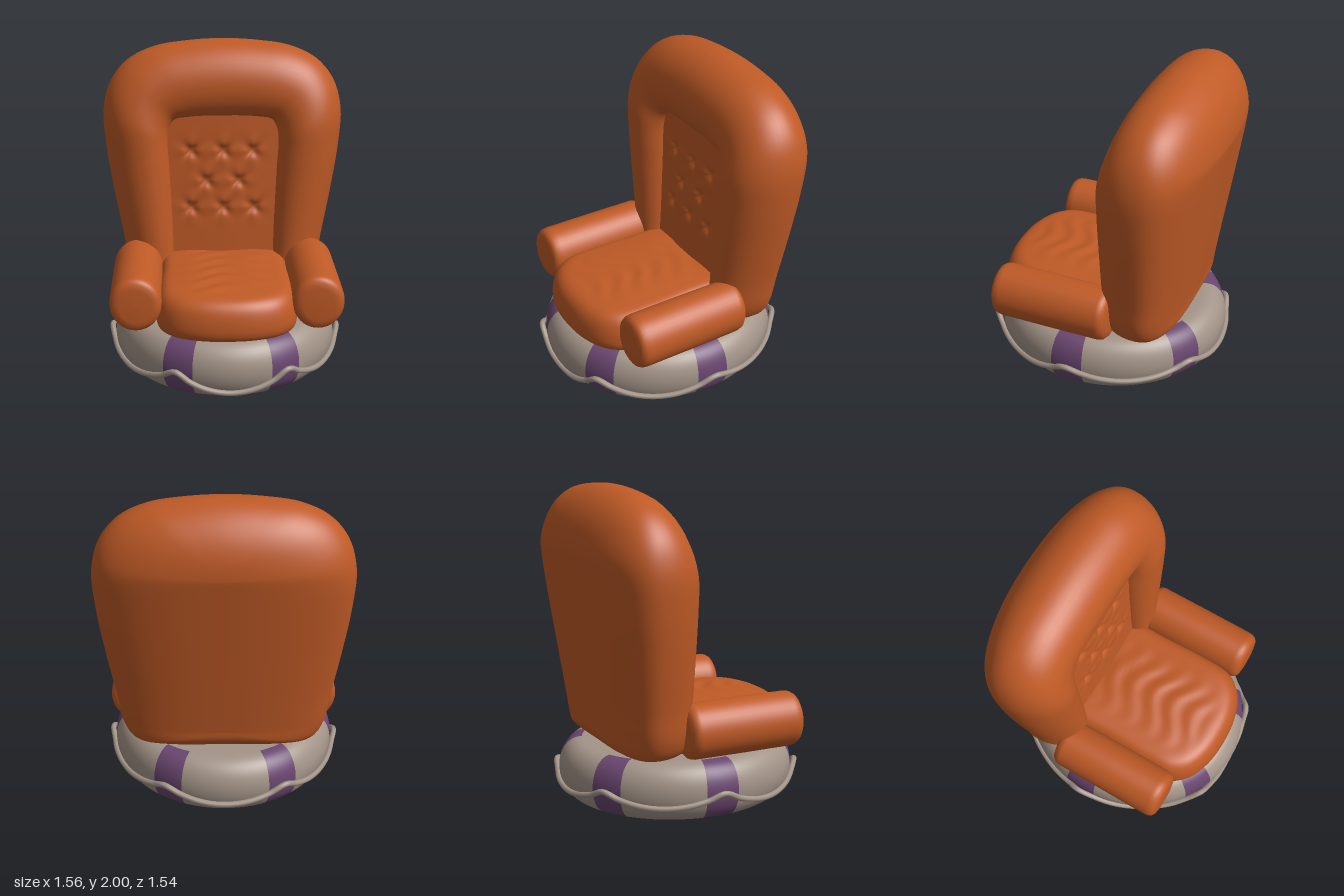
import * as THREE from 'three';
import { mergeVertices } from 'three/addons/utils/BufferGeometryUtils.js';

const leather = new THREE.MeshStandardMaterial({ color: 0xbf5a26 });
leather.name = 'orangeLeather';
const canvas = new THREE.MeshStandardMaterial({ color: 0xa39488 });
canvas.name = 'greyCanvas';
const purple = new THREE.MeshStandardMaterial({ color: 0x6a4670 });
purple.name = 'purpleBand';

const rad = THREE.MathUtils.degToRad;
const lerp = THREE.MathUtils.lerp;

// Smooth surface from a rule fn(u, v) -> [x, y, z], closed in u
function surface(nu, nv, fn) {
  const pos = [], idx = [];
  for (let j = 0; j <= nv; j++)
    for (let i = 0; i < nu; i++) pos.push(...fn(i / nu, j / nv));
  for (let j = 0; j < nv; j++)
    for (let i = 0; i < nu; i++) {
      const k = (i + 1) % nu;
      const a = j * nu + i, b = j * nu + k, c = b + nu, d = a + nu;
      idx.push(a, b, c, a, c, d);
    }
  const g = new THREE.BufferGeometry();
  g.setAttribute('position', new THREE.Float32BufferAttribute(pos, 3));
  g.setIndex(idx);
  const merged = mergeVertices(g, 1e-4);
  merged.computeVertexNormals();
  return merged;
}

// Closed mirrored outline from its +x half (first and last points on the axis)
function mirroredCurve(half) {
  const left = half.slice(1, -1).reverse().map(([x, y]) => [-x, y]);
  return new THREE.CatmullRomCurve3(
    [...half, ...left].map(([x, y]) => new THREE.Vector3(x, y, 0)), true, 'centripetal');
}

function add(parent, name, geometry, material) {
  const m = new THREE.Mesh(geometry, material);
  m.name = name;
  parent.add(m);
  return m;
}

const panelZ = (y) => -0.28 + (1.52 - y) * 0.06;

// Padded back shell: front roll around a recess, rim, and domed rear
function backrestGeometry() {
  const outer = mirroredCurve([[0, 2], [0.25, 1.985], [0.45, 1.95], [0.62, 1.865], [0.73, 1.73],
    [0.778, 1.55], [0.765, 1.3], [0.72, 1.0], [0.665, 0.7], [0.63, 0.5], [0.57, 0.4], [0.45, 0.375], [0, 0.37]]);
  const inner = mirroredCurve([[0, 1.525], [0.12, 1.525], [0.22, 1.52], [0.31, 1.505], [0.345, 1.46],
    [0.36, 1.38], [0.35, 1.2], [0.34, 1.0], [0.33, 0.75], [0.325, 0.6], [0.31, 0.5], [0.2, 0.45], [0, 0.45]]);
  return surface(120, 48, (u, v) => {
    const O = outer.getPoint(u), P = inner.getPoint(u);
    const top = THREE.MathUtils.smoothstep(O.y, 1.5, 2);
    const midZ = lerp(-0.37, -0.45, (O.y - 0.37) / 1.63);
    if (v <= 0.5) {
      const a = Math.PI * (1 - 2 * v), c = Math.cos(a);
      const b = 0.4 + (c < 0 ? 0.4 : 0.6) * c;
      const base = c < 0 ? panelZ(P.y) - 0.02 : midZ;
      const z = lerp(base, lerp(-0.132, -0.19, top), Math.sin(a));
      return [lerp(P.x, O.x, b), lerp(P.y, O.y, b), z];
    }
    const b = Math.cos((v - 0.5) * Math.PI);
    const n = 2.5 - 0.5 * top;
    const spineY = THREE.MathUtils.clamp(O.y, 0.52, 1.6);
    const y = lerp(spineY, O.y, b);
    const rear = -0.59 - 0.146 * (spineY - 0.4);
    const k = b < 1e-6 ? 1 : Math.pow(Math.max(0, 1 - Math.pow(b, n)), 1 / n);
    return [O.x * b, y, lerp(midZ, rear, k)];
  });
}

// Tufted panel in the recess
function panelGeometry() {
  const tufts = [[-0.21, 1.3], [0, 1.3], [0.19, 1.3], [-0.11, 1.1], [0.1, 1.1],
    [-0.21, 0.92], [0, 0.92], [0.2, 0.92]];
  const g = new THREE.PlaneGeometry(0.74, 1.02, 56, 76);
  g.translate(0, 1.03, 0);
  const p = g.attributes.position;
  for (let i = 0; i < p.count; i++) {
    const y = p.getY(i), x = p.getX(i) * (0.92 + 0.08 * (y - 0.52));
    let z = panelZ(y) + 0.015 * Math.cos(x * 4);
    for (const [tx, ty] of tufts) {
      const d = Math.hypot(x - tx, y - ty), a = Math.atan2(y - ty, x - tx);
      z -= 0.026 * Math.exp(-d * d / 0.0012);
      z += 0.006 * Math.exp(-d * d / 0.008) * Math.cos(4 * a) * Math.min(1, d / 0.03);
    }
    p.setXYZ(i, x, y, z);
  }
  g.computeVertexNormals();
  return g;
}

// Seat cushion: plan outline lofted up a rounded profile, wrinkled on top
function seatGeometry() {
  const plan = mirroredCurve([[0, 0.69], [0.18, 0.672], [0.33, 0.61], [0.42, 0.5], [0.44, 0.3],
    [0.43, 0], [0.42, -0.3], [0.36, -0.4], [0, -0.41]]);
  const profile = new THREE.CatmullRomCurve3([[0, 0.365], [0.95, 0.365], [0.995, 0.41], [0.99, 0.49],
    [0.95, 0.56], [0.87, 0.605], [0.65, 0.628], [0.3, 0.64], [0, 0.642]]
    .map(([r, y]) => new THREE.Vector3(r, y, 0)), false, 'centripetal');
  return surface(96, 64, (u, v) => {
    const o = plan.getPoint(u), q = profile.getPoint(v);
    const r = v === 0 || v === 1 ? 0 : q.x;
    const x = o.x * r, z = 0.15 + (o.y - 0.15) * r;
    const soft = v > 0.6 ? 1 - THREE.MathUtils.smoothstep(r, 0.55, 0.85) : 0;
    const fold = 0.005 * Math.sin(z * 42 + 2 * Math.cos(x * 14)) * Math.cos(x * 5);
    return [x, q.y + soft * fold, z];
  });
}

// Inflated ring outline
const ringR = (y) => 0.57 + 0.14 * Math.pow(Math.max(0, 1 - ((y - 0.182) / 0.182) ** 2), 0.45);
const bandAngles = [-26, 30, 88, 150, 211, 268];
const sags = [0.06, 0.09, 0.12, 0.1, 0.11, 0.08];

function buildBase() {
  const base = new THREE.Group();
  base.name = 'ringBase';
  base.scale.z = 1.07;
  const pts = [];
  for (let i = 0; i <= 24; i++) {
    const y = 0.182 - 0.182 * Math.cos((i / 24) * Math.PI);
    pts.push(new THREE.Vector2(ringR(y), y));
  }
  const rope = [];
  bandAngles.forEach((a, i) => {
    const next = i < 5 ? bandAngles[i + 1] : bandAngles[0] + 360;
    const arc = (from, to, n) => new THREE.LatheGeometry(pts, n, rad(from), rad(to - from));
    add(base, 'ringBand', arc(a - 8, a + 8, 6), purple);
    add(base, 'ringSection', arc(a + 8, next - 8, 16), canvas);
    // rope peaks at each band and hangs between
    for (let k = 0; k < 8; k++) {
      const t = k / 8, ang = rad(lerp(a, next, t));
      const y = lerp(0.19, sags[i], Math.pow(Math.sin(t * Math.PI), 0.8));
      const r = ringR(y) + (k === 0 ? 0.025 : 0.012);
      rope.push(new THREE.Vector3(Math.sin(ang) * r, y, Math.cos(ang) * r));
    }
  });
  add(base, 'rope', new THREE.TubeGeometry(new THREE.CatmullRomCurve3(rope, true), 200, 0.018, 8, true), canvas);
  const disc = new THREE.CircleGeometry(0.572, 64);
  add(base, 'ringUnderside', disc.clone().rotateX(Math.PI / 2), canvas);
  add(base, 'ringTop', disc.clone().rotateX(-Math.PI / 2).translate(0, 0.363, 0), canvas);
  return base;
}

// Bolster armrest with softly rounded ends
function armGeometry() {
  const pts = [[0, 0], [0.1, 0.002], [0.135, 0.012], [0.155, 0.032], [0.162, 0.06], [0.164, 0.4],
    [0.164, 0.71], [0.16, 0.74], [0.149, 0.76], [0.13, 0.772], [0.1, 0.778], [0, 0.78]]
    .map(([r, y]) => new THREE.Vector2(r, y));
  const g = new THREE.LatheGeometry(pts, 40);
  g.rotateX(Math.PI / 2);
  g.scale(0.98, 1.06, 1);
  return g;
}

export function createModel() {
  const model = new THREE.Group();
  model.name = 'armchair';
  model.add(buildBase());
  add(model, 'backrest', backrestGeometry(), leather);
  add(model, 'tuftedPanel', panelGeometry(), leather);
  add(model, 'seatCushion', seatGeometry(), leather);
  for (const side of [1, -1]) {
    add(model, side > 0 ? 'leftArmrest' : 'rightArmrest', armGeometry(), leather)
      .position.set(side * 0.56, 0.55, -0.23);
  }
  return model;
}
